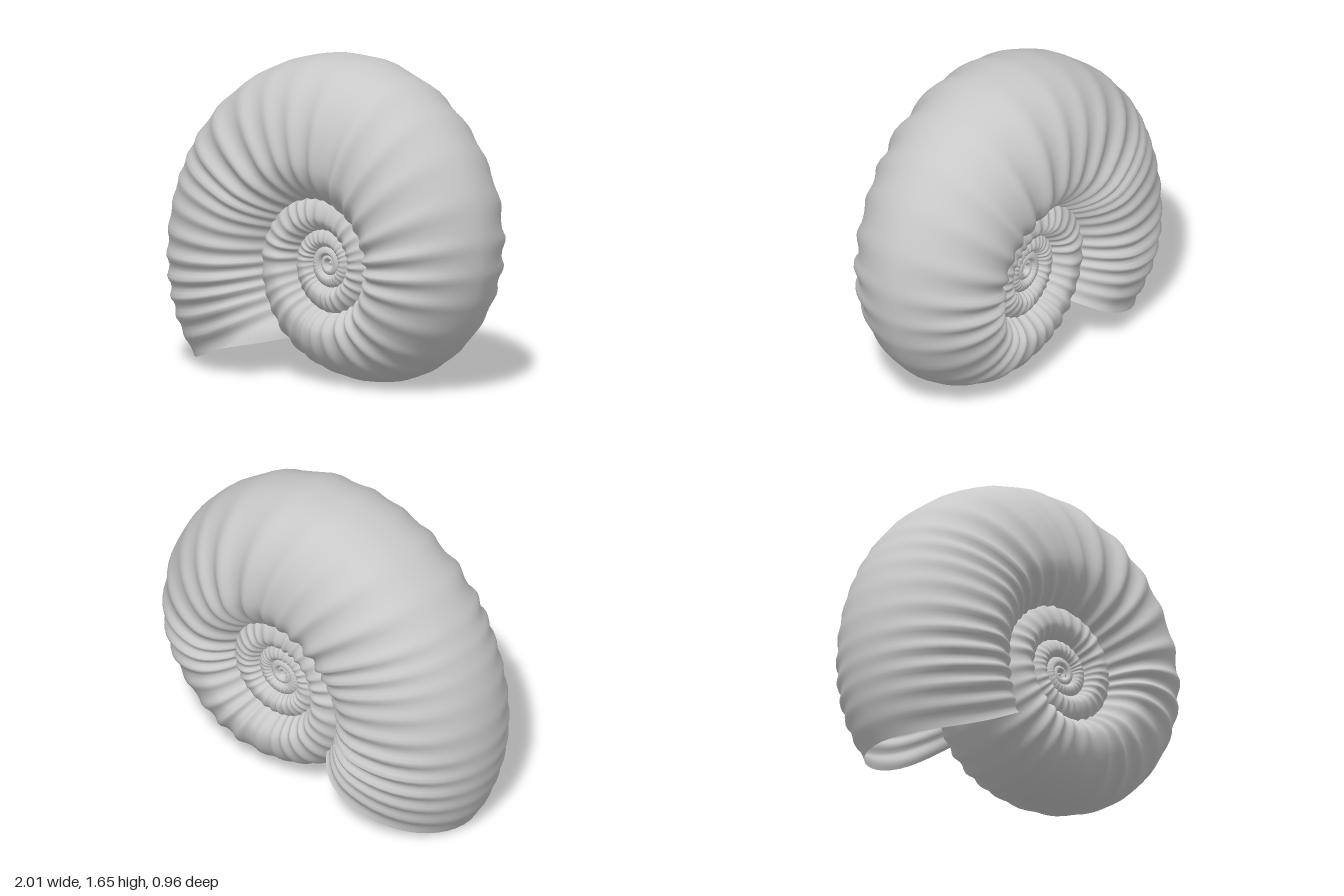
import * as THREE from 'three';

// Smooth interpolation through [angle, value] pairs
function curve(table) {
  const slope = (i) => {
    const a = table[Math.max(i - 1, 0)], b = table[Math.min(i + 1, table.length - 1)];
    return (b[1] - a[1]) / (b[0] - a[0]);
  };
  return (x) => {
    let i = 0;
    while (i < table.length - 2 && x > table[i + 1][0]) i++;
    const [x0, y0] = table[i], [x1, y1] = table[i + 1];
    const d = x1 - x0, t = THREE.MathUtils.clamp((x - x0) / d, 0, 1), s = 1 - t;
    return y0 * (1 + 2 * t) * s * s + slope(i) * d * t * s * s
      + y1 * t * t * (3 - 2 * t) - slope(i + 1) * d * t * t * s;
  };
}

const END = 226, START = END - 360 * 4.7, STEP = 1.5, SIDES = 48;
const CENTRE = { x: 0.15, y: 0.63 };

// Radius of the seam against the previous whorl, and of the outer edge
const seam = (a) => 0.425 * Math.pow(2.05, (a - 180) / 360);
const outerTable = curve([[-139, 0.535], [-90, 0.61], [-45, 0.72], [0, 0.842], [45, 0.935],
  [90, 1.03], [135, 1.09], [180, 1.152], [205, 1.185], [212, 1.18], [240, 1.17]]);
const outer = (a) => (a < -139 ? seam(a) * (0.535 / seam(-139)) : outerTable(a));
// Half thickness of the whorl
const halfWidth = curve([[-1500, 0.235], [-900, 0.255], [-540, 0.275], [-360, 0.3], [-180, 0.33],
  [-90, 0.345], [-40, 0.365], [0, 0.4], [90, 0.45], [150, 0.462], [200, 0.45], [226, 0.395]]);
// Roundness of the flank: above 1 is more pointed, below 1 is squarer
const pointed = curve([[-200, 1], [-90, 1.05], [0, 1.15], [60, 0.98], [110, 0.88], [160, 0.95], [226, 1]]);
// How far the ribs and the mouth edge sweep from seam to outer edge, in degrees
const sweep = curve([[-1500, 0], [-90, 0], [0, 0], [60, 6], [110, 10], [140, 8], [180, 0], [226, -15]]);

// Uneven, sharpened ribs that crowd together towards the mouth and fade at the core
function rib(a) {
  const q = THREE.MathUtils.degToRad(a);
  const turns = (28 * a) / 360 + Math.max(0, a - 140) * 0.04;
  const wave = 0.5 + 0.5 * Math.cos(turns * Math.PI * 2 + 0.9 * Math.sin(3.1 * q) + 0.6 * Math.sin(7.3 * q));
  const strength = THREE.MathUtils.smoothstep(a, -1100, -500);
  return strength * (Math.pow(wave, 1.5) - 0.38) * (0.85 + 0.3 * Math.sin(5.7 * q + 1));
}

// One point of the whorl: a is the angle along the spiral, p the angle round the section
function shellPoint(a, p) {
  const c = Math.cos(p), s = Math.sin(p);
  const S = seam(a), f = c > 0 ? 0.3 + 0.7 * c : 0.3 + 0.43 * c;
  const angle = a + sweep(a) * f;
  const R = outer(angle);
  const m = S + 0.3 * (R - S), w = halfWidth(a), h = Math.min(w, 0.95 * (R - S));
  const flank = Math.abs(s), round = c > 0 ? flank ** pointed(a) : flank;
  const bump = 0.03 * Math.min(1, (R - S) / 0.55) * rib(a) * (0.1 + 0.9 * flank ** 2);
  const r = m + (c > 0 ? R - m : (m - S) / 0.7) * c + bump * c;
  const z = Math.sign(s) * (w - h + h * round) + bump * s;
  const q = THREE.MathUtils.degToRad(angle);
  return [CENTRE.x + r * Math.cos(q), CENTRE.y + r * Math.sin(q), z];
}

// Points of one whole section
function section(a) {
  return Array.from({ length: SIDES }, (_, j) => shellPoint(a, ((j + 0.5) / SIDES) * Math.PI * 2));
}

function surface(points, index) {
  const g = new THREE.BufferGeometry();
  g.setAttribute('position', new THREE.Float32BufferAttribute(points.flat(), 3));
  g.setIndex(index);
  g.computeVertexNormals();
  return g;
}

// Coiled tube, open at the mouth
function whorlGeometry() {
  const rows = Math.round((END - START) / STEP), points = [], index = [];
  for (let i = 0; i <= rows; i++) points.push(...section(START + ((END - START) * i) / rows));
  for (let i = 0; i < rows; i++) {
    for (let j = 0; j < SIDES; j++) {
      const k = (j + 1) % SIDES;
      const a = i * SIDES + j, b = a + SIDES, c = i * SIDES + k, d = c + SIDES;
      index.push(a, b, c, b, d, c);
    }
  }
  return surface(points, index);
}

// Wall that closes the chamber behind the mouth, facing the opening
function septumGeometry(a) {
  const points = section(a), index = [];
  const mid = [0, 1, 2].map((k) => points.reduce((sum, p) => sum + p[k], 0) / SIDES);
  for (let j = 0; j < SIDES; j++) index.push(SIDES, (j + 1) % SIDES, j);
  return surface([...points, mid], index);
}

export function createModel() {
  const shellGrey = new THREE.MeshStandardMaterial({ color: 0xc8c8c8, side: THREE.DoubleSide });
  shellGrey.name = 'shellGrey';
  const body = new THREE.Group();
  body.name = 'shell';
  const add = (name, geometry) => {
    const mesh = new THREE.Mesh(geometry, shellGrey);
    mesh.name = name;
    body.add(mesh);
    return mesh;
  };
  add('coiledWhorls', whorlGeometry());
  add('chamberWall', septumGeometry(199));

  // Core that fills the eye of the spiral on both faces
  const core = add('spiralCore', new THREE.SphereGeometry(1, 20, 14));
  core.position.set(CENTRE.x, CENTRE.y, 0);
  core.scale.set(0.025, 0.025, 0.235);

  // Stand on the ground, centred
  const box = new THREE.Box3().setFromObject(body, true);
  const mid = box.getCenter(new THREE.Vector3());
  body.position.set(-mid.x, -box.min.y, -mid.z);

  const model = new THREE.Group();
  model.name = 'spiralShell';
  model.add(body);
  return model;
}
